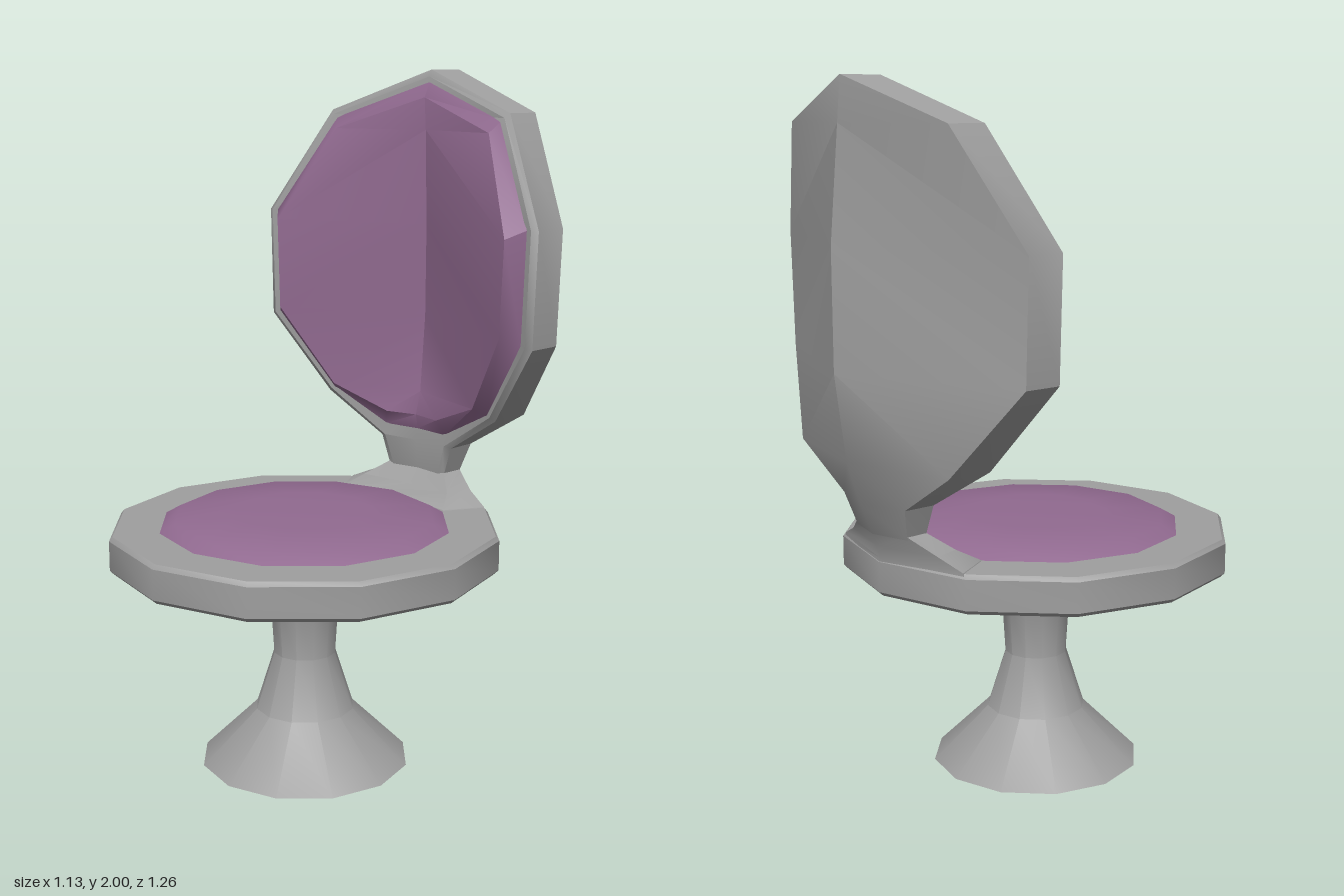
import * as THREE from 'three';
import { toCreasedNormals } from 'three/addons/utils/BufferGeometryUtils.js';

const grey = new THREE.MeshStandardMaterial({ color: 0x9f9f9f });
const purple = new THREE.MeshStandardMaterial({ color: 0x916a90 });
const CENTRE_Z = 0.065;
const CREASE = 0.6;

// Twelve-sided turned part from [radius, height] pairs, bottom to top
function turned(name, profile, material) {
  const points = profile.map(([r, y]) => new THREE.Vector2(r, y));
  const geometry = toCreasedNormals(new THREE.LatheGeometry(points, 12), CREASE);
  const mesh = new THREE.Mesh(geometry, material);
  mesh.name = name;
  mesh.position.z = CENTRE_Z;
  return mesh;
}

function quad(out, a, b, c, d) {
  out.push(...a, ...b, ...c, ...a, ...c, ...d);
}

// Strip of faces joining two closed loops with the same number of points
function band(out, a, b) {
  a.forEach((p, i) => {
    const j = (i + 1) % a.length;
    quad(out, p, a[j], b[j], b[i]);
  });
}

// Rows are [height, half width, edge z, centre z], listed top to bottom
const centre = ([y, , , z]) => [0, y, z];
const edge = ([y, x, z], side) => [side * x, y, z];

function outline(rows) {
  const left = rows.slice(1).reverse();
  return [
    ...rows.map((r) => edge(r, -1)),
    centre(rows[rows.length - 1]),
    ...left.map((r) => edge(r, 1)),
  ];
}

// Surface folded along the centre line, mirrored left to right
function sheet(out, rows, facing) {
  for (let i = 0; i < rows.length - 1; i++) {
    const a = rows[i], b = rows[i + 1];
    for (const side of [-1, 1]) {
      const [ca, cb, eb, ea] = [centre(a), centre(b), edge(b, side), edge(a, side)];
      if (side * facing > 0) quad(out, ca, cb, eb, ea);
      else quad(out, ca, ea, eb, cb);
    }
  }
}

function meshFrom(name, positions, material) {
  const geometry = new THREE.BufferGeometry();
  geometry.setAttribute('position', new THREE.Float32BufferAttribute(positions, 3));
  const mesh = new THREE.Mesh(toCreasedNormals(geometry, CREASE), material);
  mesh.name = name;
  return mesh;
}

// Folded shell that supports the back cushion
function backFrame() {
  const back = [
    [2.0, 0, -0.594, -0.594], [1.88, 0.345, -0.52, -0.605], [1.57, 0.527, -0.42, -0.633],
    [1.24, 0.517, -0.42, -0.633], [1.0, 0.335, -0.52, -0.6], [0.88, 0.14, -0.515, -0.56],
    [0.79, 0.115, -0.49, -0.52],
  ];
  const front = [
    [2.0, 0, -0.468, -0.468], [1.88, 0.345, -0.405, -0.475], [1.57, 0.527, -0.31, -0.48],
    [1.24, 0.517, -0.31, -0.48], [1.0, 0.335, -0.385, -0.46], [0.88, 0.14, -0.42, -0.43],
    [0.79, 0.11, -0.425, -0.435],
  ];
  const inset = [
    [1.98, 0, -0.458, -0.458], [1.867, 0.333, -0.395, -0.465], [1.57, 0.508, -0.3, -0.47],
    [1.245, 0.498, -0.3, -0.47], [1.01, 0.32, -0.375, -0.45], [0.885, 0.12, -0.41, -0.42],
    [0.79, 0.09, -0.42, -0.43],
  ];
  const out = [];
  sheet(out, back, -1);
  band(out, outline(back), outline(front));
  band(out, outline(front), outline(inset));
  sheet(out, inset, 1);
  return meshFrom('backFrame', out, grey);
}

// Bevelled pad following the fold of the frame
function backCushion() {
  const outer = [
    [1.965, 0, -0.46, -0.46], [1.86, 0.32, -0.4, -0.465], [1.57, 0.49, -0.305, -0.47],
    [1.25, 0.48, -0.305, -0.47], [1.015, 0.31, -0.38, -0.455], [0.92, 0.12, -0.415, -0.428],
  ];
  const inner = [
    [1.92, 0, -0.438, -0.438], [1.825, 0.298, -0.37, -0.445], [1.545, 0.447, -0.262, -0.455],
    [1.27, 0.437, -0.262, -0.455], [1.035, 0.28, -0.345, -0.437], [0.965, 0.1, -0.395, -0.418],
  ];
  const out = [];
  band(out, outline(outer), outline(inner));
  sheet(out, inner, 1);
  return meshFrom('backCushion', out, purple);
}

// Flared joint from the seat up to the back
function neck() {
  // [height, centre front z, front x, front z, rear x, rear z, centre rear z]
  const rings = [
    [0.7, -0.33, 0.21, -0.3, 0.28, -0.424, -0.5],
    [0.722, -0.34, 0.205, -0.31, 0.27, -0.424, -0.502],
    [0.755, -0.385, 0.17, -0.37, 0.195, -0.45, -0.508],
    [0.8, -0.435, 0.11, -0.425, 0.116, -0.492, -0.522],
  ].map(([y, cf, fx, fz, rx, rz, cr]) => [
    [0, y, cf], [fx, y, fz], [rx, y, rz], [0, y, cr], [-rx, y, rz], [-fx, y, fz],
  ]);
  const out = [];
  for (let i = 0; i < rings.length - 1; i++) band(out, rings[i], rings[i + 1]);
  const top = rings[rings.length - 1];
  quad(out, top[0], top[1], top[2], top[3]);
  quad(out, top[0], top[3], top[4], top[5]);
  return meshFrom('neck', out, grey);
}

export function createModel() {
  const model = new THREE.Group();
  model.name = 'chair';
  model.add(
    turned('pedestal', [
      [0, 0], [0.308, 0], [0.146, 0.16], [0.092, 0.33], [0.102, 0.49], [0.142, 0.615],
    ], grey),
    turned('seat', [
      [0, 0.61], [0.555, 0.61], [0.567, 0.622], [0.567, 0.708], [0.557, 0.72], [0, 0.72],
    ], grey),
    turned('seatCushion', [
      [0.427, 0.718], [0.38, 0.745], [0.2, 0.756], [0, 0.757],
    ], purple),
    neck(),
    backFrame(),
    backCushion(),
  );
  return model;
}
